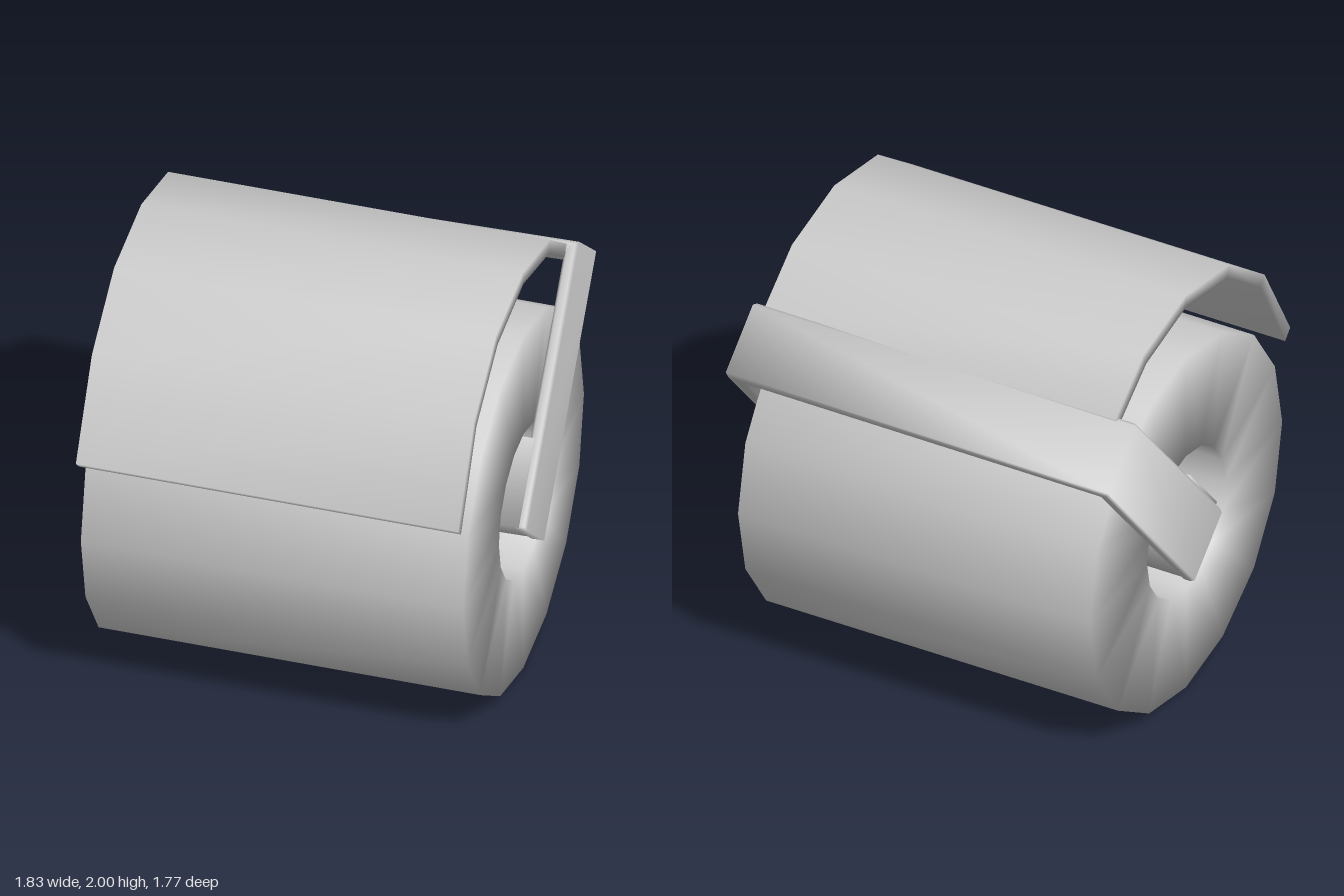
import * as THREE from 'three';
import { mergeVertices } from 'three/addons/utils/BufferGeometryUtils.js';

const grey = new THREE.MeshStandardMaterial({ color: 0xcccccc });

// Share corner vertices so the shading runs softly over the edges
function soft(geometry) {
  geometry.deleteAttribute('uv');
  geometry.deleteAttribute('normal');
  const merged = mergeVertices(geometry, 1e-4);
  merged.computeVertexNormals();
  return merged;
}

function part(name, geometry) {
  const mesh = new THREE.Mesh(geometry, grey);
  mesh.name = name;
  return mesh;
}

const shapeOf = (points) => new THREE.Shape(points.map(([x, y]) => new THREE.Vector2(x, y)));

export function createModel() {
  const model = new THREE.Group();
  model.name = 'toiletRollHolder';
  const left = 0.845, right = -0.83, width = left - right;

  // Paper roll: 16-sided ring with a hole, lying along x
  const outer = 0.84, inner = 0.34, half = width / 2;
  const profile = [[inner, -half], [outer, -half], [outer, half], [inner, half], [inner, -half]]
    .map(([r, y]) => new THREE.Vector2(r, y));
  const roll = part('paperRoll', soft(new THREE.LatheGeometry(profile, 16).rotateZ(-Math.PI / 2)));
  roll.position.set((left + right) / 2, 0.84, -0.03);
  model.add(roll);

  // Curved cover: [z, y] outlines from the front lip to the back bar
  const top = [[0.88, 1.277], [0.656, 1.685], [0.35, 1.924], [-0.03, 2], [-0.4, 1.924], [-0.645, 1.744]];
  const under = [[0.836, 1.235], [0.62, 1.643], [0.328, 1.865], [-0.03, 1.94], [-0.376, 1.865], [-0.614, 1.696]];
  const section = shapeOf([...top, ...under.reverse()].map(([z, y]) => [-z, y]));
  const coverGeometry = new THREE.ExtrudeGeometry(section, { depth: width, bevelEnabled: false });
  const cover = part('cover', soft(coverGeometry.rotateY(Math.PI / 2)));
  cover.position.x = right;
  model.add(cover);

  // Tilted, slightly twisted frame; local y runs up the arms
  const frame = new THREE.Group();
  frame.name = 'frame';
  frame.position.set(0, 1.175, -0.36);
  frame.rotation.set(-0.705, 0, 0.02);
  model.add(frame);

  // Back bar and both side arms as one U-shaped band
  const bevel = 0.012, x = 0.905 - bevel, xi = 0.85 + bevel, y = 0.617 - bevel, yi = 0.56 + bevel;
  const band = shapeOf([[-x, -y], [-xi, -y], [-xi, yi], [xi, yi], [xi, -y], [x, -y], [x, y], [-x, y]]);
  const depth = 0.335 - 2 * bevel;
  const bandGeometry = new THREE.ExtrudeGeometry(band, {
    depth, bevelThickness: bevel, bevelSize: bevel, bevelSegments: 1,
  }).translate(0, 0, -depth / 2);
  frame.add(part('backBarAndArms', soft(bandGeometry)));

  // Flat axle joining the arm ends through the roll
  const axle = part('axle', soft(new THREE.BoxGeometry(1.74, 0.38, 0.35)));
  axle.position.set(0, -0.42, 0.015);
  frame.add(axle);

  return model;
}
